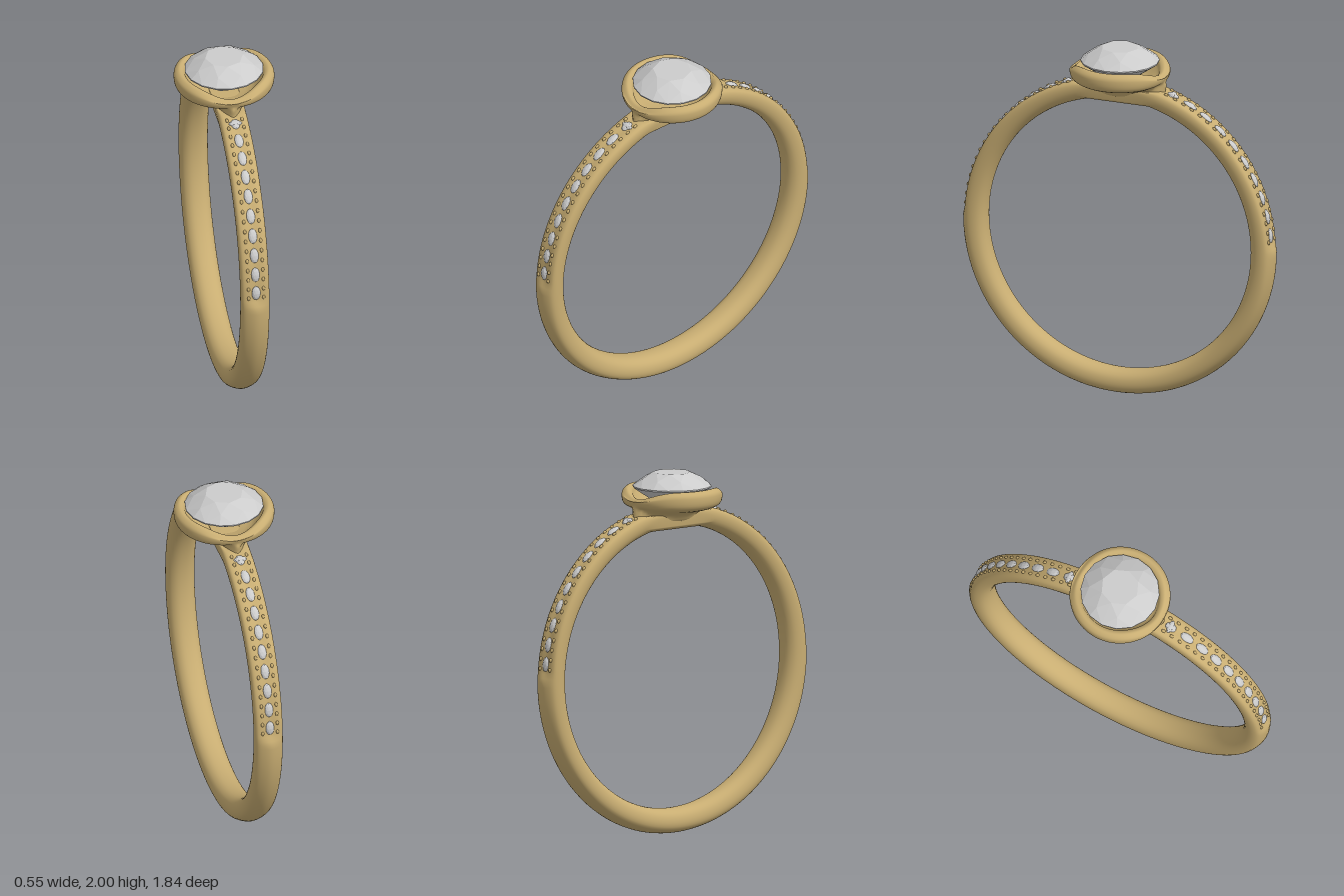
import * as THREE from 'three';
import { ConvexGeometry } from 'three/addons/geometries/ConvexGeometry.js';

const CY = 0.92; // height of the ring's centre
const gold = new THREE.MeshStandardMaterial({ color: 0xc8ad72 });
const stoneMat = new THREE.MeshStandardMaterial({ color: 0xcccccc, flatShading: true });
const mix = THREE.MathUtils.lerp;

// Closed loop of closed sections; section(a) returns points running counter-clockwise
function loft(count, section) {
  const pos = [], index = [];
  let m = 0;
  for (let i = 0; i < count; i++) {
    const pts = section((i / count) * Math.PI * 2);
    m = pts.length;
    pts.forEach(p => pos.push(p.x, p.y, p.z));
  }
  for (let i = 0; i < count; i++) {
    const k = (i + 1) % count;
    for (let j = 0; j < m; j++) {
      const n = (j + 1) % m;
      index.push(i * m + j, i * m + n, k * m + j, i * m + n, k * m + n, k * m + j);
    }
  }
  const g = new THREE.BufferGeometry();
  g.setAttribute('position', new THREE.Float32BufferAttribute(pos, 3));
  g.setIndex(index);
  g.computeVertexNormals();
  return g;
}

function smoothLoop(pairs, count) {
  const pts = pairs.map(([x, y]) => new THREE.Vector3(x, y, 0));
  return new THREE.CatmullRomCurve3(pts, true, 'centripetal').getPoints(count).slice(0, count);
}

// Band: ridged below the middle, flattened for the stones above it
function bandGeometry() {
  return loft(240, a => {
    const rise = THREE.MathUtils.radToDeg(Math.asin(Math.cos(a)));
    const s = THREE.MathUtils.smoothstep(rise, 0, 4.5);
    const half = [
      [0.045, mix(0.909, 0.898, s)], [0.072, mix(0.889, 0.888, s)], [0.08, 0.855],
      [0.069, 0.815], [0.04, 0.79],
    ];
    const mirrored = half.map(([x, r]) => [-x, r]);
    const loop = [[0, 0.783], ...half.slice().reverse(), [0, mix(0.921, 0.894, s)], ...mirrored];
    return smoothLoop(loop, 36).map(p => {
      let y = p.y * Math.cos(a);
      // flatten the top under the setting
      if (y > 0) y = Math.min(y, p.y > 0.84 ? 0.86 : 0.765 + (p.y - 0.783) * 0.6);
      return new THREE.Vector3(p.x, CY + y, p.y * Math.sin(a));
    });
  });
}

// Saddle-shaped cup flaring from the band to a round rim
function settingGeometry() {
  return loft(96, a => {
    const c = Math.cos(a), s = Math.sin(a);
    const foot = 1 / Math.hypot(c / 0.068, s / 0.275);
    const top = 1.922 - 0.05 * Math.pow(Math.abs(s), 6);
    const loop = [
      [0.03, 1.735], [foot, 1.73], [mix(foot, 0.25, 0.22), 1.775], [Math.max(0.235, foot), 1.812],
      [0.268, 1.835], [0.276, (top + 1.84) / 2 + 0.005], [0.268, top - 0.015], [0.245, top],
      [0.221, top - 0.012], [0.207, top - 0.045], [0.15, 1.805], [0.03, 1.757],
    ];
    return smoothLoop(loop, 48).map(p => new THREE.Vector3(p.x * c, p.y, p.x * s));
  });
}

// Round brilliant cut: table, crown, girdle, pavilion and culet
function brilliantGeometry() {
  const pts = [new THREE.Vector3(0, 1.78, 0)];
  const ring = (n, r, y, turn) => {
    for (let i = 0; i < n; i++) {
      const a = ((i + turn) / n) * Math.PI * 2;
      pts.push(new THREE.Vector3(r * Math.cos(a), y, r * Math.sin(a)));
    }
  };
  ring(8, 0.105, 2.0, 0);
  ring(8, 0.168, 1.966, 0.5);
  ring(16, 0.217, 1.926, 0);
  ring(16, 0.217, 1.919, 0);
  ring(8, 0.1, 1.838, 0.5);
  return new ConvexGeometry(pts);
}

export function createModel() {
  const model = new THREE.Group();
  const add = (name, geometry, material, parent = model) => {
    const mesh = new THREE.Mesh(geometry, material);
    mesh.name = name;
    parent.add(mesh);
    return mesh;
  };

  add('band', bandGeometry(), gold);
  add('setting', settingGeometry(), gold);
  add('centreStone', brilliantGeometry(), stoneMat);

  const stoneGeo = new THREE.IcosahedronGeometry(1, 1);
  const beadGeo = new THREE.SphereGeometry(1, 8, 6);

  // Rows of small stones and beads on both shoulders
  for (const side of [1, -1]) {
    const row = new THREE.Group();
    row.name = side > 0 ? 'frontShoulder' : 'backShoulder';
    model.add(row);
    const place = (mesh, deg, x, r, sx, sr, st) => {
      const a = THREE.MathUtils.degToRad(90 - deg) * side; // measured from the top
      mesh.position.set(x, CY + r * Math.cos(a), r * Math.sin(a));
      mesh.rotation.x = a;
      mesh.scale.set(sx, sr, st);
    };
    for (let i = 0; i < 10; i++) {
      const deg = 6.4 + 7 * i;
      place(add('accentStone', stoneGeo, stoneMat, row), deg, 0, 0.892, 0.026, 0.017, i < 9 ? 0.043 : 0.034);
      for (const x of [-0.042, 0.042])
        for (const step of [-1.75, 1.75])
          place(add('bead', beadGeo, gold, row), deg + step, x, 0.897, 0.009, 0.011, 0.013);
    }
    // broad stone next to the setting
    place(add('endStone', stoneGeo, stoneMat, row), 69.6, 0, 0.897, 0.038, 0.014, 0.018);
  }
  return model;
}
